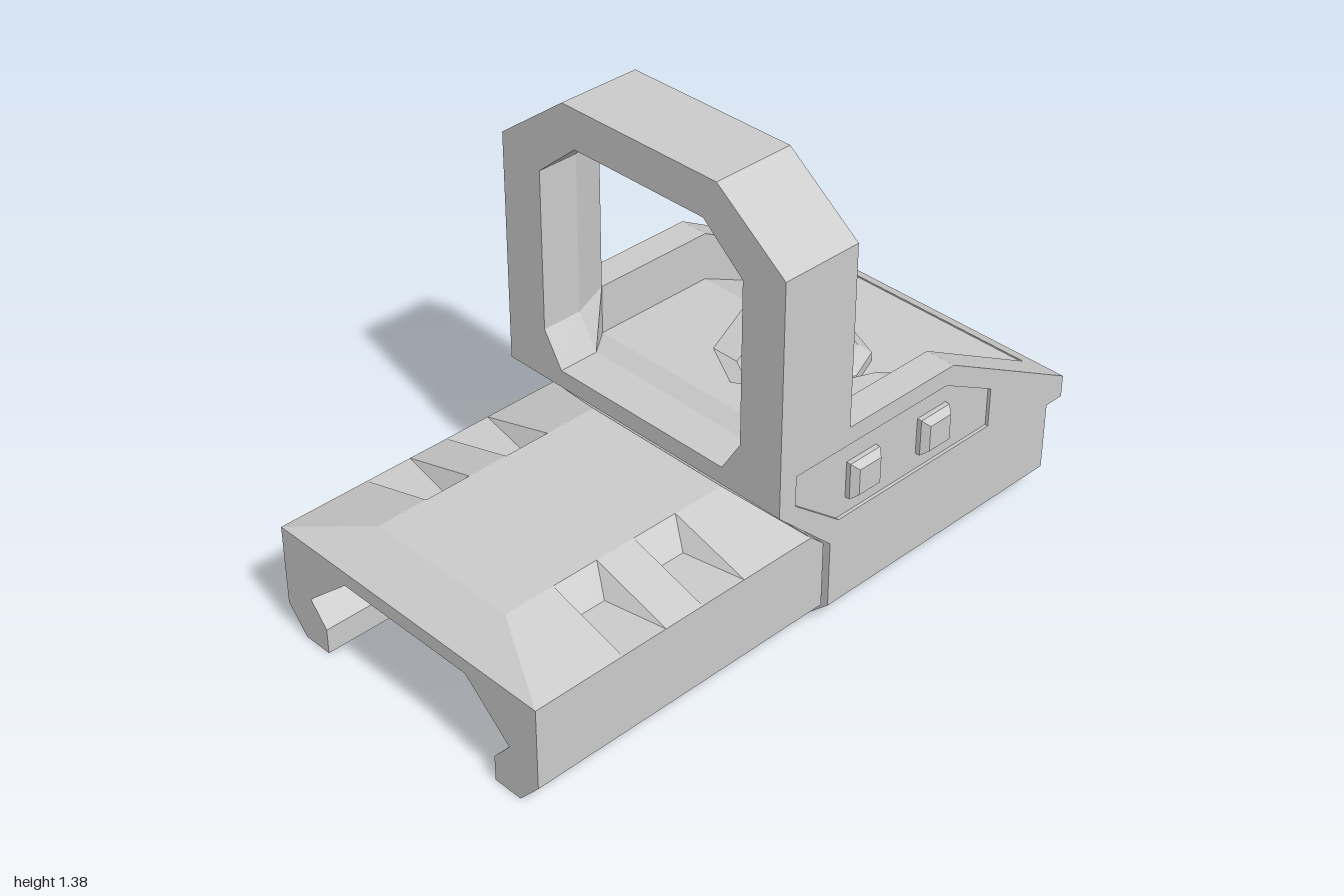
import * as THREE from 'three';

const material = new THREE.MeshStandardMaterial({ color: 0xcccccc, flatShading: true, side: THREE.DoubleSide });
const shapeOf = (pts) => new THREE.Shape(pts.map(([x, y]) => new THREE.Vector2(x, y)));
const mirrorLoop = (half) => [...half, ...half.slice().reverse().map(([x, y]) => [-x, y])];

// Extrude a front outline (x, y) from z0 to z1
function extrudeZ(shape, z0, z1, steps = 1) {
  return new THREE.ExtrudeGeometry(shape, { depth: z1 - z0, steps, bevelEnabled: false }).translate(0, 0, z0);
}

// Extrude a side outline (z, y) from x0 to x1
function extrudeX(shape, x0, x1) {
  return new THREE.ExtrudeGeometry(shape, { depth: x1 - x0, bevelEnabled: false })
    .rotateY(-Math.PI / 2).translate(x1, 0, 0);
}

// Fan-filled polygons, mirrored across x
function mirroredFaces(polys) {
  const pos = [];
  for (const p of polys) {
    for (let i = 1; i < p.length - 1; i++) {
      pos.push(...p[0], ...p[i], ...p[i + 1]);
      for (const v of [p[0], p[i + 1], p[i]]) pos.push(-v[0], v[1], v[2]);
    }
  }
  const g = new THREE.BufferGeometry();
  g.setAttribute('position', new THREE.Float32BufferAttribute(pos, 3));
  g.computeVertexNormals();
  return g;
}

// Move every vertex by a rule
function reshape(g, rule) {
  const p = g.attributes.position;
  const v = new THREE.Vector3();
  for (let i = 0; i < p.count; i++) {
    v.fromBufferAttribute(p, i);
    rule(v);
    p.setXYZ(i, v.x, v.y, v.z);
  }
  g.computeVertexNormals();
  return g;
}

// Rail clamp outline with hooked feet
const clampShape = (w, top) => shapeOf(mirrorLoop([
  [0.24, 0.29], [0.40, 0.15], [0.34, 0.08], [0.34, 0],
  [0.435, 0], [w, 0.08], [w, 0.29], [w, top],
]));

// Sloped cover of the front block, with two wedge notches per side
function coverGeometry() {
  const xi = 0.25, xo = 0.505, hi = 0.41, lo = 0.335;
  const polys = [
    [[0, hi, 0.11], [0, hi, 0.87], [xi, hi, 0.87], [xi, hi, 0.11]],
    [[0, hi, 0.87], [0, lo, 1], [xo, lo, 1], [xi, hi, 0.87]],
    [[0, hi, 0.11], [xi, hi, 0.11], [xo, lo, 0.03], [0, lo, 0.03]],
  ];
  for (const [i0, o0, i1, o1] of [[0.11, 0.03, 0.28, 0.28], [0.43, 0.43, 0.56, 0.56], [0.71, 0.71, 0.87, 1]]) {
    polys.push([[xi, hi, i0], [xi, hi, i1], [xo, lo, o1], [xo, lo, o0]]);
  }
  for (const z0 of [0.28, 0.56]) {
    const z1 = z0 + 0.15;
    const a = [xi, hi, z0], b = [xi, hi, z1], e = [xo, lo, z0], f = [xo, lo, z1];
    const c = [xi + 0.065, lo, z1 - 0.035], d = [xi + 0.065, lo, z0 + 0.035];
    polys.push([a, b, c, d], [d, c, f, e], [a, d, e], [b, f, c]);
  }
  return mirroredFaces(polys);
}

// Window frame: opening flares toward the back, underside slants
function frameGeometry() {
  const shape = shapeOf(mirrorLoop([[0.51, 0.48], [0.51, 0.64], [0.52, 0.64], [0.52, 1.2], [0.28, 1.38]]));
  shape.holes.push(shapeOf(mirrorLoop([[0.31, 0.535], [0.375, 0.64], [0.375, 1.14], [0.235, 1.26]])));
  return reshape(extrudeZ(shape, -0.09, 0.17, 2), (v) => {
    const inHole = Math.abs(v.x) < 0.4 && v.y > 0.5 && v.y < 1.3;
    if (v.y < 0.5) v.y -= (0.17 - v.z) * 0.95;
    else if (inHole && v.z < -0.05) {
      const s = Math.sign(v.x);
      if (v.y < 0.6) v.set(s * 0.425, 0.485, v.z);
      else if (v.y > 1.2) v.set(s * 0.255, 1.31, v.z);
      else v.set(s * 0.425, v.y + (v.y > 1 ? 0.025 : 0), v.z);
    }
  });
}

// Raised tray floor with a U-shaped sunken wall around the emitter
function trayFloorGeometry() {
  const hi = 0.485, lo = 0.395, w = 0.425;
  const top = [[0.26, lo, -0.69], [0.25, hi, -0.5], [0.15, hi, -0.26], [0, hi, -0.175]];
  const low = [[0.26, lo, -0.69], [0.205, lo, -0.5], [0.15, lo, -0.355], [0, lo, -0.27]];
  const polys = [
    [[w, hi, -0.09], [w, hi, -0.5], top[1], top[2], top[3], [0, hi, -0.09]],
    [[w, hi, -0.5], [w, lo, -0.69], top[0], top[1]],
  ];
  for (let i = 0; i < 3; i++) polys.push([top[i], low[i], low[i + 1], top[i + 1]]);
  return mirroredFaces(polys);
}

// Knob outline with shallow grip grooves
function knobShape() {
  const pts = [];
  for (let i = 0; i < 24; i++) {
    const a = (i / 24) * Math.PI * 2;
    const r = i % 4 === 0 ? 0.075 : 0.09;
    pts.push([Math.cos(a) * r, Math.sin(a) * r]);
  }
  return shapeOf(pts);
}

function lathe(pts, sides, phi = 0) {
  return new THREE.LatheGeometry(pts.map(([x, y]) => new THREE.Vector2(x, y)), sides, phi);
}

export function createModel() {
  const model = new THREE.Group();
  const body = new THREE.Group();
  body.name = 'sight';
  body.position.x = 0.04;
  model.add(body);
  const add = (name, geometry) => {
    const mesh = new THREE.Mesh(geometry, material);
    mesh.name = name;
    body.add(mesh);
    return mesh;
  };

  // Front block, its back edge cut parallel to the frame underside
  add('frontClamp', reshape(extrudeZ(clampShape(0.505, 0.335), -0.02, 1), (v) => {
    if (v.z < 0 && v.y > 0.29) v.z += (v.y - 0.29) * 1.08;
  }));
  add('frontCover', coverGeometry());

  // Rear block with recessed tray
  add('rearClamp', extrudeZ(clampShape(0.52, 0.298), -0.935, -0.03));
  add('trayBase', extrudeX(shapeOf([
    [-0.09, 0.292], [-1, 0.295], [-1, 0.365], [-0.935, 0.4], [-0.935, 0.395], [-0.09, 0.395],
  ]), -0.425, 0.425));
  add('trayFloor', trayFloorGeometry());
  add('windowFrame', frameGeometry());

  // Emitter
  add('emitter', lathe([[0.165, 0.39], [0.165, 0.425], [0.125, 0.45], [0, 0.45]], 8))
    .position.z = -0.515;

  // Side walls, outer plates with sunken panel, buttons
  const wall = shapeOf([[-0.09, 0.295], [-0.09, 0.64], [-0.5, 0.64], [-1, 0.365], [-1, 0.295]]);
  const plate = shapeOf([[0.17, 0.48], [0.17, 0.64], [-0.5, 0.64], [-1, 0.365], [-1, 0.295], [-0.03, 0.29]]);
  plate.holes.push(shapeOf([
    [0.11, 0.585], [-0.475, 0.585], [-0.67, 0.48], [-0.67, 0.355], [-0.06, 0.355], [0.11, 0.49],
  ]));
  for (const s of [1, -1]) {
    const side = s > 0 ? 'left' : 'right';
    add(side + 'TrayWall', extrudeX(wall, s > 0 ? 0.425 : -0.51, s > 0 ? 0.51 : -0.425));
    add(side + 'SidePlate', extrudeX(plate, s > 0 ? 0.51 : -0.52, s > 0 ? 0.52 : -0.51));
    for (const z of [-0.15, -0.43]) {
      const button = lathe([[0.081, 0], [0.081, 0.025], [0.058, 0.045], [0, 0.045]], 4, Math.PI / 4);
      add(side + 'Button', button.rotateZ(-s * Math.PI / 2)).position.set(s * 0.5, 0.465, z);
    }
  }

  // Clamp knob on the right side
  add('knob', extrudeX(knobShape(), -0.63, -0.53)).position.set(0, 0.22, -0.18);
  add('knobStem', new THREE.CylinderGeometry(0.05, 0.05, 0.06, 12).rotateZ(Math.PI / 2))
    .position.set(-0.52, 0.22, -0.18);

  return model;
}
